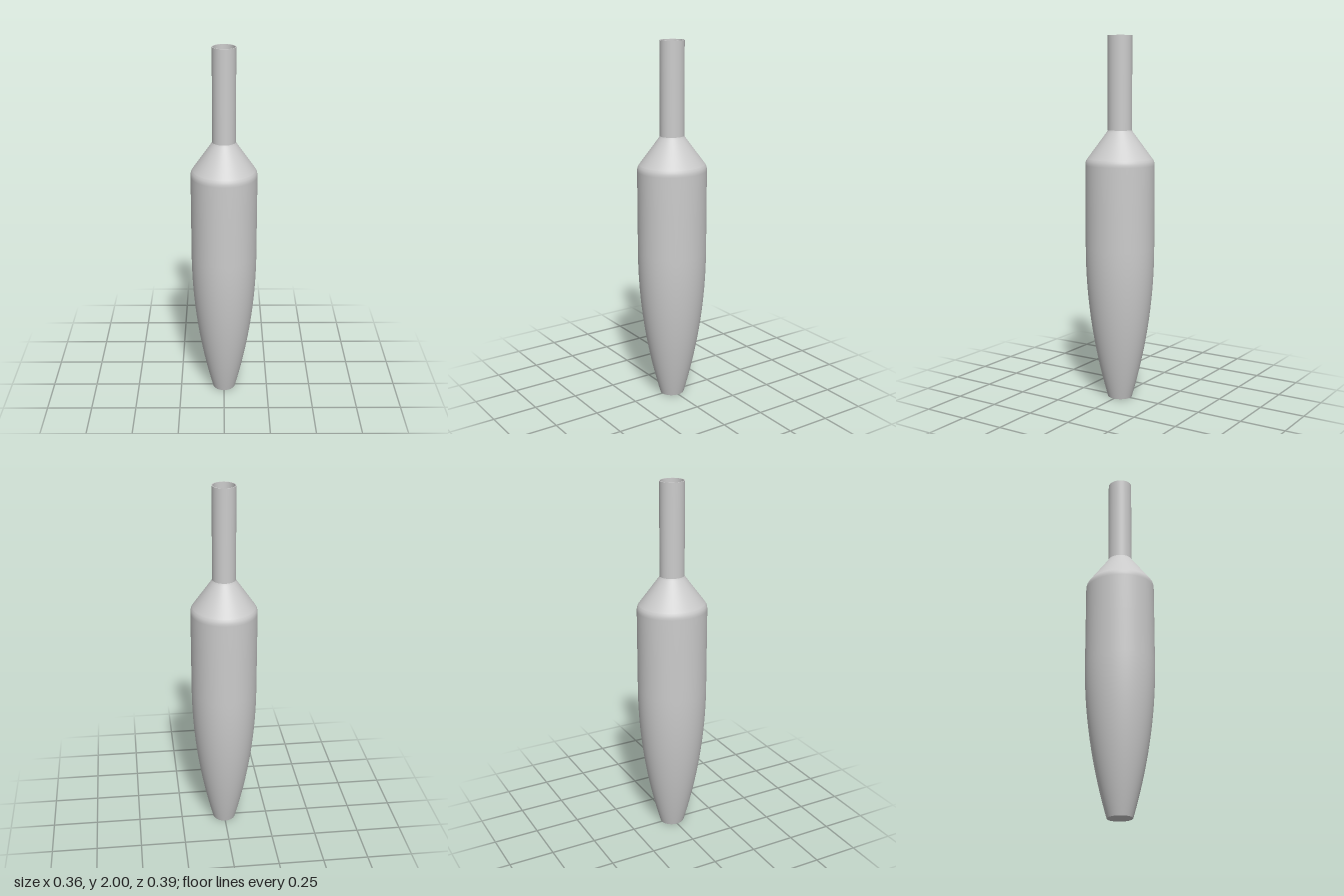
import * as THREE from 'three';

const DEPTH = 1.07; // cross-section is slightly deeper than wide
const WALL = 0.005;

export function createModel() {
  const group = new THREE.Group();
  group.name = 'bottle';
  const material = new THREE.MeshStandardMaterial({ color: 0xcccccc });

  // Each strip is its own lathe, so edges between strips stay sharp
  const addLathe = (name, points) => {
    const geometry = new THREE.LatheGeometry(points.map(([r, y]) => new THREE.Vector2(r, y)), 96);
    geometry.scale(1, 1, DEPTH);
    const mesh = new THREE.Mesh(geometry, material);
    mesh.name = name;
    group.add(mesh);
  };

  // Body: narrow foot swelling in a parabola to a straight barrel
  const body = [];
  for (let i = 0; i <= 20; i++) {
    const t = i / 20;
    body.push([0.064 + 0.116 * (1 - (1 - t) ** 2), 0.85 * t]);
  }
  // Small rounded edge from barrel into the sloping shoulder
  body.push([0.18, 1.1], [0.18, 1.305], [0.179, 1.318], [0.176, 1.33], [0.17, 1.34]);
  const shoulder = [[0.17, 1.34], [0.068, 1.485], [0.063, 1.495]];
  const neck = [[0.063, 1.495], [0.063, 2]];

  addLathe('base', [[0, 0], [0.064, 0]]);
  addLathe('body', body);
  addLathe('shoulder', shoulder);
  addLathe('neck', neck);
  addLathe('rim', [[0.063, 2], [0.063 - WALL, 2]]);

  // Hollow inside, following the outer wall down to the floor
  const inner = [...body, ...shoulder.slice(1), neck[1]]
    .map(([r, y]) => [r - WALL, Math.max(y, 0.01)])
    .reverse();
  addLathe('innerWall', inner);
  addLathe('innerFloor', [[0.064 - WALL, 0.01], [0, 0.01]]);

  return group;
}
